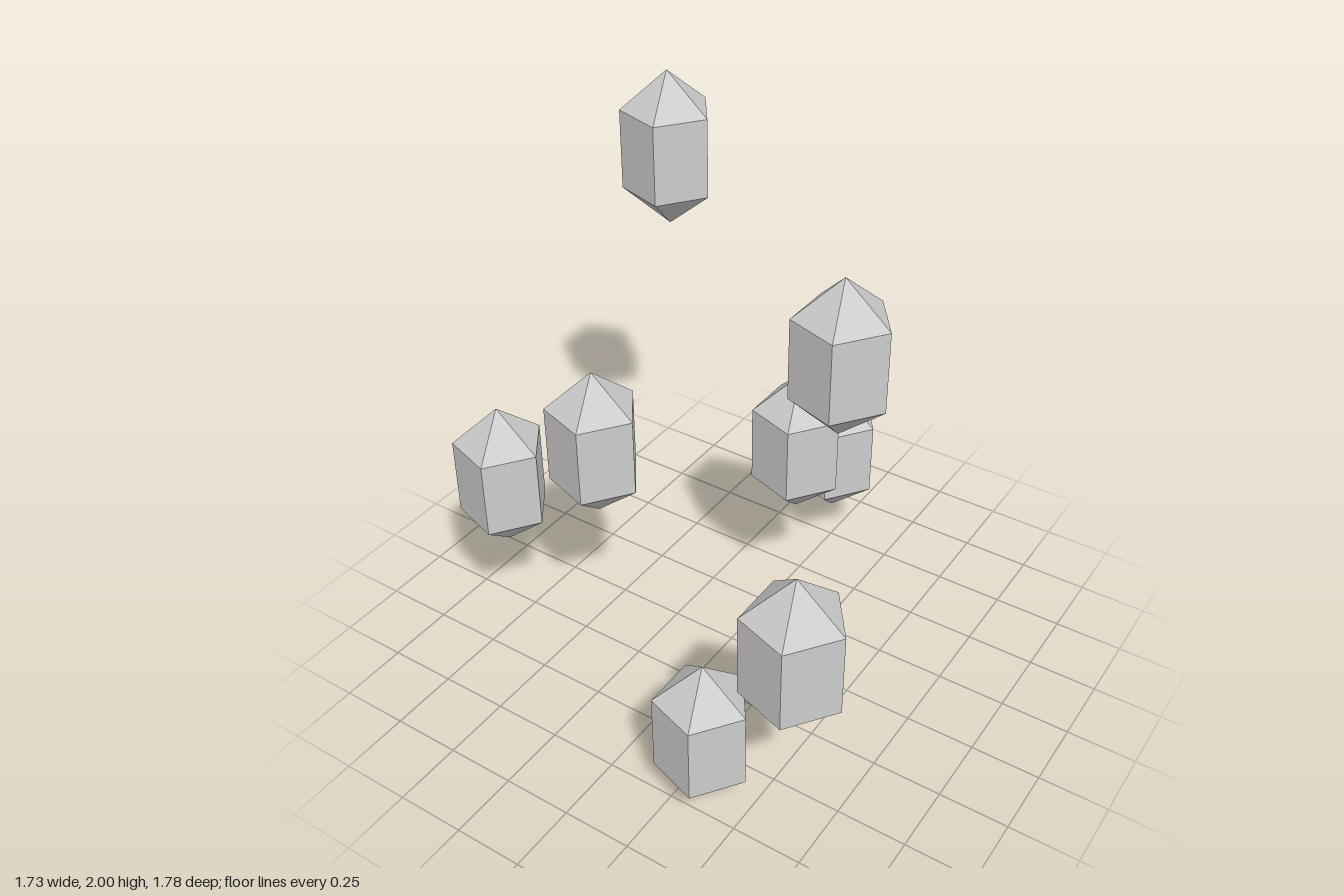
import * as THREE from 'three';

// Cluster of floating five-sided crystals, each with a pointed top and bottom
export function createModel() {
  const model = new THREE.Group();
  model.name = 'crystalCluster';

  const stone = new THREE.MeshStandardMaterial({ color: 0xcccccc, flatShading: true });
  stone.name = 'pale grey';

  // Half profile from lower tip to upper tip; one corner points along +x
  const radius = 0.165, halfBody = 0.145, halfHeight = 0.286;
  const profile = [
    [0, -halfHeight], [radius, -halfBody], [radius, halfBody], [0, halfHeight],
  ].map(([x, y]) => new THREE.Vector2(x, y));
  const crystalShape = new THREE.LatheGeometry(profile, 5, Math.PI / 2);

  // Crystal centres
  const centres = [
    [-0.535, 1.714, -0.416],
    [0.424, 1.418, 0.026],
    [-0.372, 0.935, 0.28],
    [0.697, 0.878, 0.733],
    [0.081, 0.762, -0.312],
    [-0.732, 0.705, 0.368],
    [0.006, 0.459, -0.733],
    [0.327, 0.289, 0.668],
  ];
  centres.forEach(([x, y, z], i) => {
    const crystal = new THREE.Mesh(crystalShape, stone);
    crystal.name = `crystal${i + 1}`;
    crystal.position.set(x, y, z);
    model.add(crystal);
  });

  return model;
}
